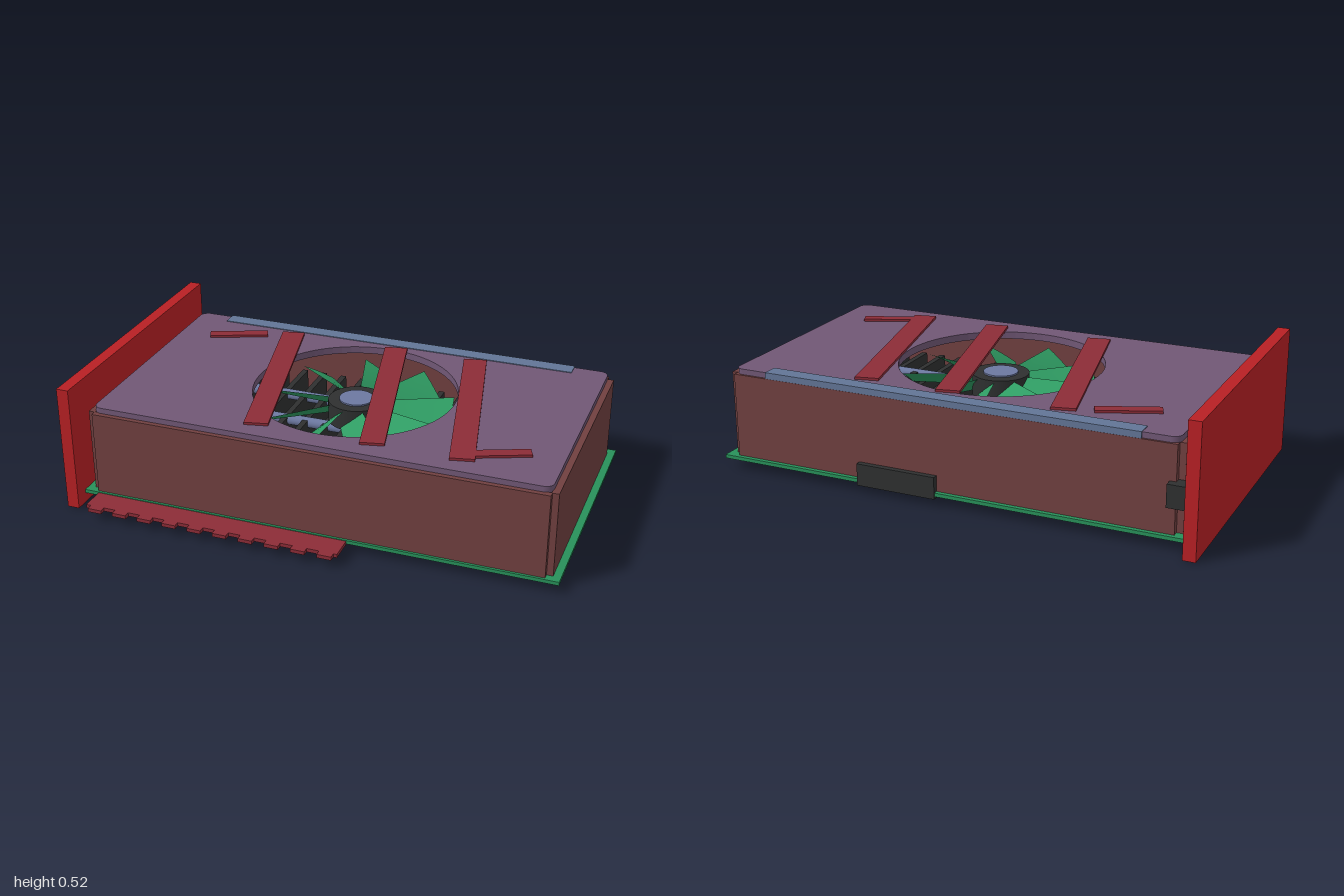
import * as THREE from 'three';

const mat = (name, color) => {
  const m = new THREE.MeshStandardMaterial({ color });
  m.name = name;
  return m;
};

export function createModel() {
  const red = mat('bracket red', 0xb82024);
  const maroon = mat('accent maroon', 0x8c2c37);
  const brown = mat('shroud brown', 0x704040);
  const purple = mat('cover purple', 0x705775);
  const green = mat('board green', 0x28905a);
  const leaf = mat('blade green', 0x2f9c63);
  leaf.side = THREE.DoubleSide;
  const dark = mat('dark grey', 0x2e3030);
  const blue = mat('pipe blue', 0x6c78a0);
  const slate = mat('strip blue', 0x627596);

  const model = new THREE.Group();
  model.name = 'graphicsCard';

  const add = (parent, name, geometry, material) => {
    const m = new THREE.Mesh(geometry, material);
    m.name = name;
    parent.add(m);
    return m;
  };
  // Box given by its lower and upper limits on each axis
  const box = (name, material, [x0, x1], [y0, y1], [z0, z1], parent = model) => {
    const m = add(parent, name, new THREE.BoxGeometry(x1 - x0, y1 - y0, z1 - z0), material);
    m.position.set((x0 + x1) / 2, (y0 + y1) / 2, (z0 + z1) / 2);
    return m;
  };

  // Circuit board with its toothed edge connector
  box('circuitBoard', green, [-0.95, 1], [0.04, 0.055], [-0.575, 0.5]);
  box('edgeConnector', maroon, [-0.89, 0.175], [0.037, 0.052], [0.5, 0.6]);
  for (let i = 0; i < 10; i++) {
    const x = -0.84 + i * 0.108;
    box('connectorTooth', maroon, [x - 0.029, x + 0.029], [0.037, 0.052], [0.6, 0.625]);
  }
  box('powerSocket', dark, [0.05, 0.385], [0.03, 0.12], [-0.58, -0.49]);

  // Mounting bracket with foot and ports
  box('bracket', red, [-1, -0.95], [0, 0.525], [-0.63, 0.56]);
  box('bracketFoot', red, [-0.95, -0.88], [0.01, 0.035], [-0.5, 0.43]);
  for (const z of [-0.53, -0.295, -0.04, 0.215])
    box('port', dark, [-0.95, -0.87], [0.17, 0.26], [z - 0.06, z + 0.06]);

  // Shroud walls, leaving a small notch at each corner
  const wallY = [0.055, 0.4];
  box('frontWall', brown, [-0.895, 0.945], wallY, [0.465, 0.49]);
  box('backWall', brown, [-0.895, 0.945], wallY, [-0.557, -0.53]);
  box('rightWall', brown, [-0.92, -0.893], wallY, [-0.532, 0.467]);
  box('leftWall', brown, [0.942, 0.97], wallY, [-0.532, 0.467]);

  // Cover plate with rounded corners and a round fan opening
  const cx = 0.015, cz = -0.04;
  const [x0, x1, z0, z1, r] = [-0.9, 0.945, -0.548, 0.47, 0.035];
  const plate = new THREE.Shape();
  plate.absarc(x1 - r, -z0 - r, r, 0, Math.PI / 2);
  plate.absarc(x0 + r, -z0 - r, r, Math.PI / 2, Math.PI);
  plate.absarc(x0 + r, -z1 + r, r, Math.PI, Math.PI * 1.5);
  plate.absarc(x1 - r, -z1 + r, r, Math.PI * 1.5, Math.PI * 2);
  plate.closePath();
  plate.holes.push(new THREE.Path().absarc(cx, -cz, 0.415, 0, Math.PI * 2, true));
  const plateGeo = new THREE.ExtrudeGeometry(plate, { depth: 0.03, bevelEnabled: false, curveSegments: 32 });
  const cover = add(model, 'cover', plateGeo.rotateX(-Math.PI / 2), purple);
  cover.position.y = 0.393;
  box('lightStrip', slate, [-0.76, 0.8], [0.4, 0.426], [-0.556, -0.49]);

  // Slanted accent bars and two short dashes on the cover
  const accent = (x, z, w, l, angle) => {
    const m = box('accentBar', maroon, [x - w / 2, x + w / 2], [0.422, 0.433], [z - l / 2, z + l / 2]);
    m.rotation.y = angle;
  };
  for (const x of [-0.33, 0.142, 0.492]) accent(x, -0.035, 0.096, 0.875, 0.22);
  accent(-0.645, -0.37, 0.25, 0.047, 0.39);
  accent(0.7, 0.3, 0.25, 0.047, 0.39);

  // Heat sink: base, fins and three pipes
  const sink = new THREE.Group();
  sink.name = 'heatSink';
  model.add(sink);
  box('sinkBase', dark, [-0.85, 0.9], [0.055, 0.1], [-0.49, 0.43], sink);
  for (let i = 0; i < 20; i++) {
    const x = -0.83 + i * 0.09;
    box('fin', dark, [x - 0.012, x + 0.012], [0.1, 0.25], [-0.48, 0.42], sink);
  }
  for (const z of [-0.26, -0.04, 0.18]) {
    const pipe = add(sink, 'heatPipe', new THREE.CylinderGeometry(0.022, 0.022, 1.7, 16), blue);
    pipe.rotation.z = Math.PI / 2;
    pipe.position.set(0.03, 0.235, z);
  }

  // Fan: hub, cap and nine swept, pitched blades
  const fan = new THREE.Group();
  fan.name = 'fan';
  fan.position.set(0.02, 0.335, cz);
  model.add(fan);
  add(fan, 'hub', new THREE.CylinderGeometry(0.115, 0.115, 0.09, 40), dark);
  add(fan, 'hubCap', new THREE.CylinderGeometry(0.07, 0.07, 0.008, 32), blue).position.y = 0.047;
  const blade = new THREE.PlaneGeometry(1, 1, 6, 4).rotateX(-Math.PI / 2);
  const p = blade.attributes.position;
  for (let i = 0; i < p.count; i++) {
    const t = p.getX(i) + 0.5, s = p.getZ(i);
    const chord = 0.085 + 0.045 * t;
    const sweep = 0.02 - 0.06 * t;
    p.setXYZ(i, 0.1 + 0.285 * t, -s * 0.075 + 0.015 * (0.25 - s * s), sweep + s * chord);
  }
  blade.computeVertexNormals();
  for (let i = 0; i < 9; i++)
    add(fan, 'blade', blade, leaf).rotation.y = -THREE.MathUtils.degToRad(351 + i * 40);

  return model;
}
